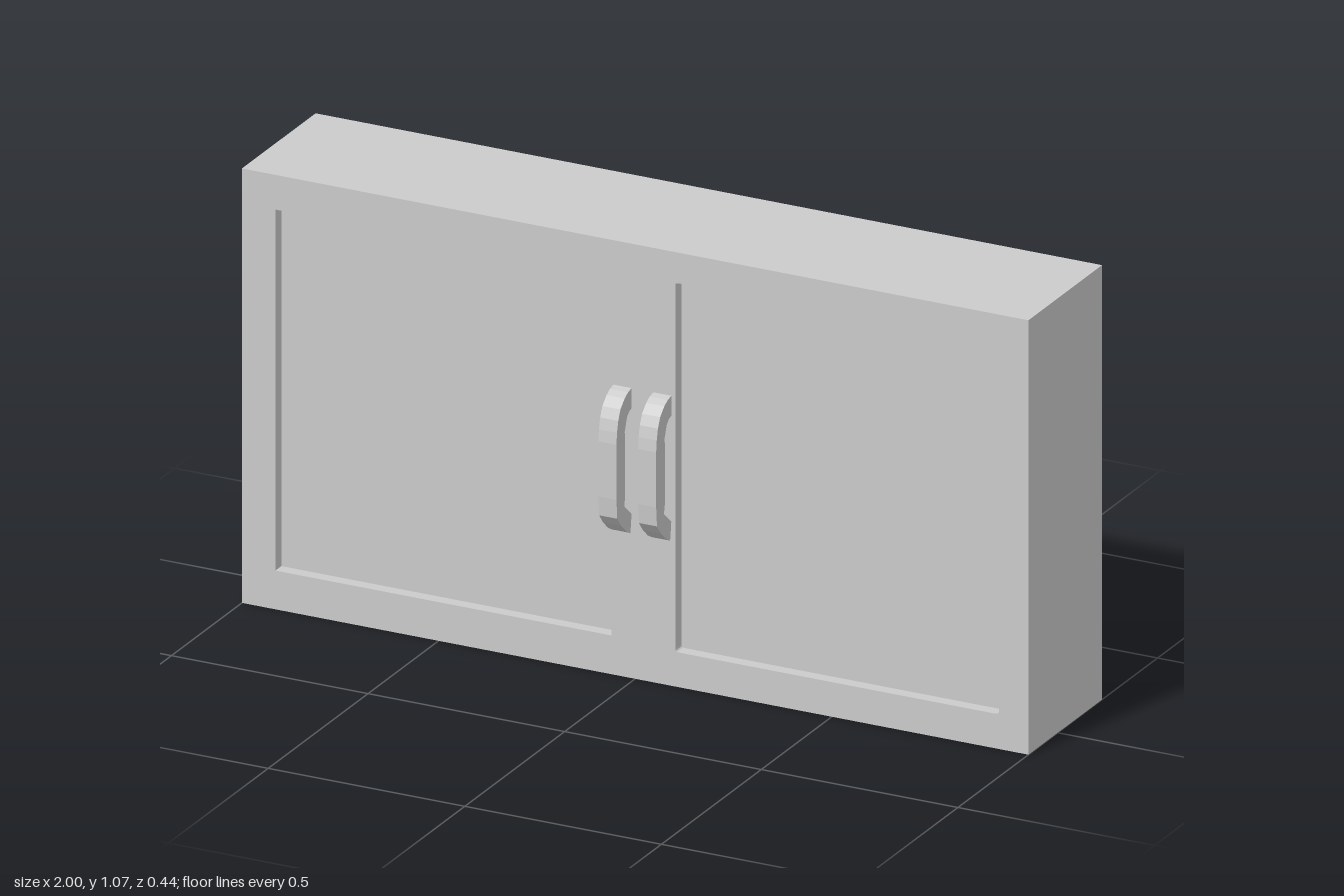
import * as THREE from 'three';

const W = 2, H = 1.065, BACK = -0.222, FRONT = 0.147, RECESS = 0.03;

// Rectangle outline with optional small rounded corners
function rect(path, x0, y0, x1, y1, r = 0) {
  if (!r) {
    path.moveTo(x0, y0).lineTo(x1, y0).lineTo(x1, y1).lineTo(x0, y1).closePath();
    return path;
  }
  path.moveTo(x0 + r, y0).lineTo(x1 - r, y0);
  path.quadraticCurveTo(x1, y0, x1, y0 + r).lineTo(x1, y1 - r);
  path.quadraticCurveTo(x1, y1, x1 - r, y1).lineTo(x0 + r, y1);
  path.quadraticCurveTo(x0, y1, x0, y1 - r).lineTo(x0, y0 + r);
  path.quadraticCurveTo(x0, y0, x0 + r, y0);
  return path;
}

export function createModel() {
  const group = new THREE.Group();
  const material = new THREE.MeshStandardMaterial({ color: 0xcccccc, flatShading: true });

  function add(name, geometry, x, y, z) {
    const mesh = new THREE.Mesh(geometry, material);
    mesh.name = name;
    mesh.position.set(x, y, z);
    group.add(mesh);
  }

  // Cabinet body, up to the floor of the door recesses
  const depth = FRONT - RECESS - BACK;
  add('cabinetBody', new THREE.BoxGeometry(W, H, depth), 0, H / 2, BACK + depth / 2);

  // Front frame with the two sunken door panels cut out
  const frame = rect(new THREE.Shape(), -W / 2, 0, W / 2, H);
  frame.holes.push(
    rect(new THREE.Path(), -0.915, 0.095, -0.06, 0.98),
    rect(new THREE.Path(), 0.102, 0.085, 0.925, 0.99, 0.008)
  );
  const frameGeometry = new THREE.ExtrudeGeometry(frame, {
    depth: RECESS, bevelEnabled: false, curveSegments: 3
  });
  add('frontFrame', frameGeometry, 0, 0, FRONT - RECESS);

  // Door handles: side profile as (z, y), extruded across x
  const profile = [
    [0.147, 0.711], [0.165, 0.707], [0.182, 0.698], [0.203, 0.679], [0.214, 0.655],
    [0.22, 0.628], [0.223, 0.6], [0.223, 0.465], [0.219, 0.417], [0.199, 0.392],
    [0.173, 0.369], [0.153, 0.358], [0.147, 0.403], [0.184, 0.434], [0.179, 0.459],
    [0.179, 0.606], [0.182, 0.615], [0.17, 0.648], [0.16, 0.658], [0.147, 0.662]
  ].map(([z, y]) => new THREE.Vector2(z, y));
  const handle = new THREE.ExtrudeGeometry(new THREE.Shape(profile), {
    depth: 0.046, bevelEnabled: false
  });
  handle.rotateY(-Math.PI / 2);
  add('rightHandle', handle, -0.009, 0, 0);
  add('leftHandle', handle, 0.092, 0, 0);

  return group;
}
